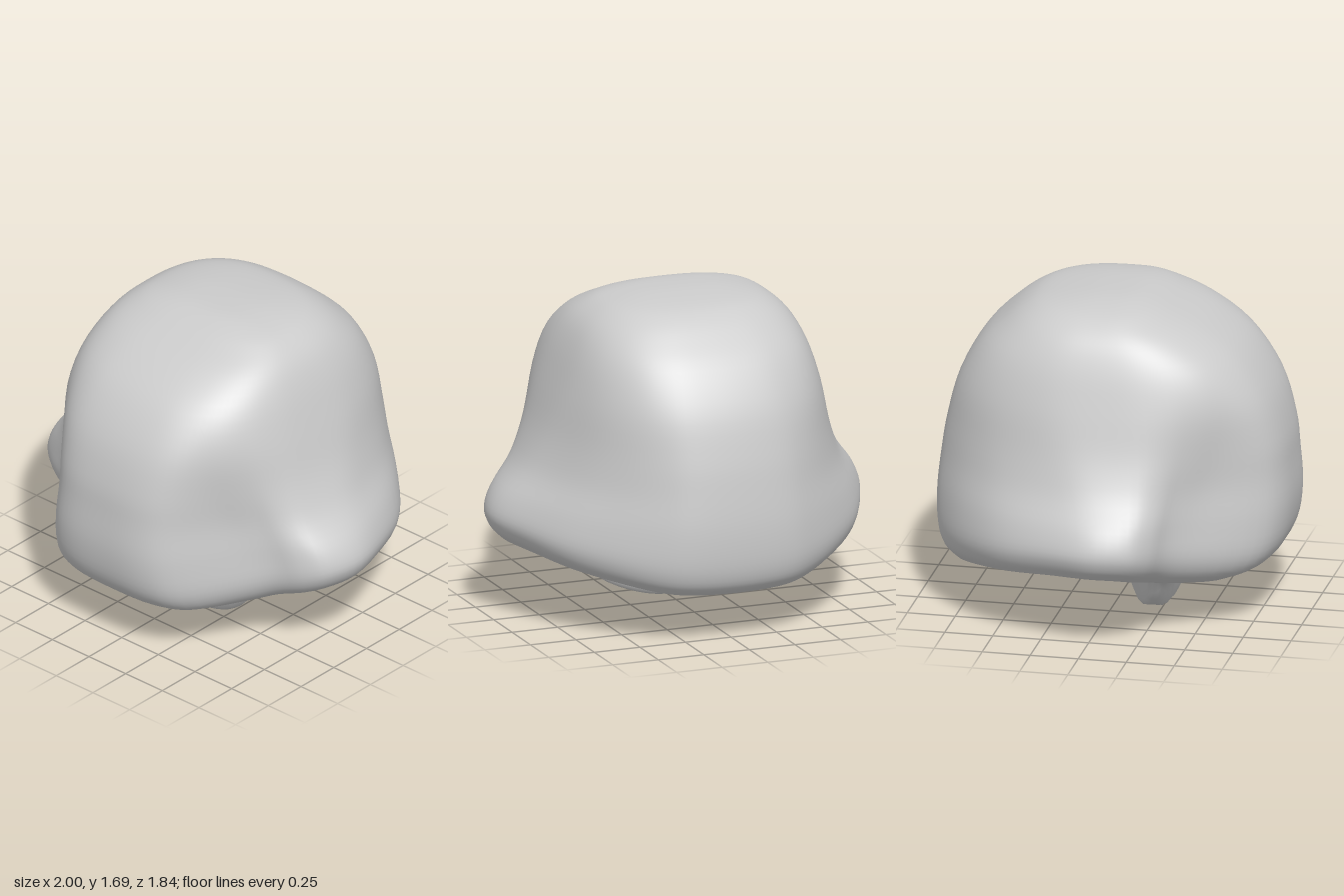
import * as THREE from 'three';

// Crown to lower edge: height, half width, front depth, back depth
const ROWS = [
  [1.68, 0, 0, 0],
  [1.675, 0.2, 0.12, 0.15],
  [1.65, 0.36, 0.22, 0.35],
  [1.61, 0.46, 0.32, 0.46],
  [1.53, 0.55, 0.5, 0.57],
  [1.4, 0.62, 0.68, 0.7],
  [1.2, 0.69, 0.82, 0.81],
  [0.98, 0.76, 0.89, 0.87],
  [0.8, 0.84, 0.91, 0.9],
  [0.6, 0.95, 0.92, 0.92],
  [0.42, 1.0, 0.89, 0.915],
  [0.31, 0.98, 0.81, 0.885],
  [0.25, 0.93, 0.67, 0.83],
];

// Half outline, back to front: x, z, lift of the lower edge, opening rim x, y, z
const COLS = [
  [0, -0.92, 0, 0, 0.32, -0.75],
  [0.25, -0.9, 0.005, 0.22, 0.32, -0.73],
  [0.42, -0.83, 0.02, 0.38, 0.33, -0.68],
  [0.62, -0.68, 0.06, 0.56, 0.36, -0.56],
  [0.8, -0.47, 0.1, 0.72, 0.39, -0.39],
  [0.93, -0.2, 0.14, 0.83, 0.415, -0.17],
  [1, 0.04, 0.155, 0.87, 0.42, 0.02],
  [0.96, 0.24, 0.145, 0.82, 0.4, 0.14],
  [0.86, 0.34, 0.11, 0.73, 0.37, 0.22],
  [0.72, 0.41, 0.07, 0.62, 0.34, 0.265],
  [0.6, 0.53, 0.03, 0.5, 0.3, 0.25],
  [0.42, 0.8, 0, 0.32, 0.24, 0.14],
  [0.25, 0.9, 0, 0.14, 0.21, 0.04],
  [0, 0.92, 0, 0, 0.2, 0],
];

const smooth = (a, b, v) => {
  const t = Math.min(1, Math.max(0, (v - a) / (b - a)));
  return t * t * (3 - 2 * t);
};
const lerp = THREE.MathUtils.lerp;

// Catmull-Rom through lists of equal length, taken value by value
function spline(list, t, closed) {
  const n = list.length;
  const i = Math.floor(t);
  const f = t - i;
  const at = (k) => list[closed ? (k + n) % n : Math.min(n - 1, Math.max(0, k))];
  const [a, b, c, d] = [at(i - 1), at(i), at(i + 1), at(i + 2)];
  return b.map((p, k) => p + 0.5 * f * (c[k] - a[k]
    + f * (2 * a[k] - 5 * p + 4 * c[k] - d[k] + f * (3 * (p - c[k]) + d[k] - a[k]))));
}

// Full loop of columns, each with a rounder upper outline added
function makeLoop() {
  const half = COLS.map((c, i) => {
    const a = (i / (COLS.length - 1)) * Math.PI;
    const round = (v) => Math.sign(v) * Math.pow(Math.abs(v), 2 / 2.6);
    const topX = i === COLS.length - 1 ? 0 : round(Math.sin(a));
    return [...c, topX, round(-Math.cos(a))];
  });
  const mirrored = half.slice(1, -1).reverse()
    .map(([x, z, l, ex, ey, ez, tx, tz]) => [-x, z, l, -ex, ey, ez, -tx, tz]);
  return [...half, ...mirrored];
}

// Point on the outer shell
function shellPoint([x, z, lift, , , , topX, topZ], [y, w, front, back]) {
  const b = smooth(0.5, 1.45, y);
  const pz = lerp(z / 0.92, topZ, b);
  return [
    w * lerp(x, topX, b),
    y + lift * (1 - smooth(0.25, 0.85, y)),
    pz * (pz > 0 ? front : back),
  ];
}

// Point on the underside, from lower edge (s = 0) to opening rim (s = 1), with the chin
function undersidePoint(col, s) {
  const o = shellPoint(col, ROWS[ROWS.length - 1]);
  const x = lerp(o[0], col[3], s);
  const z = lerp(o[2], col[5], s);
  const across = Math.sqrt(Math.max(0, 1 - (x / 0.47) ** 2));
  const inFront = smooth(0, 0.1, col[1]);
  const chin = 0.215 * across * inFront * smooth(0.37, 0.27, z) * smooth(1, 0.82, s);
  const roll = 0.02 * Math.sin(Math.PI * s) * (1 - across * inFront);
  return [x, lerp(o[1], col[4], s) - chin - roll, z];
}

export function createModel() {
  const loop = makeLoop();
  const colCount = loop.length * 4;
  const shellSteps = (ROWS.length - 1) * 4;
  const underSteps = 28;
  const rowCount = shellSteps + underSteps + 1;
  const positions = [];
  const indices = [];

  for (let r = 0; r < rowCount; r++) {
    for (let c = 0; c < colCount; c++) {
      const col = spline(loop, c / 4, true);
      positions.push(...(r <= shellSteps
        ? shellPoint(col, spline(ROWS, r / 4, false))
        : undersidePoint(col, (r - shellSteps) / underSteps)));
    }
  }
  for (let r = 0; r < rowCount - 1; r++) {
    for (let c = 0; c < colCount; c++) {
      const n = (c + 1) % colCount;
      const a = r * colCount + c, d = r * colCount + n;
      const b = a + colCount, e = d + colCount;
      if (r > 0) indices.push(a, d, b);
      indices.push(d, e, b);
    }
  }

  const geometry = new THREE.BufferGeometry();
  geometry.setAttribute('position', new THREE.Float32BufferAttribute(positions, 3));
  geometry.setIndex(indices);
  geometry.computeVertexNormals();

  const shell = new THREE.Mesh(geometry, new THREE.MeshStandardMaterial({
    color: 0xcccccc,
    side: THREE.DoubleSide,
  }));
  shell.name = 'headShell';

  const group = new THREE.Group();
  group.name = 'head';
  group.add(shell);
  return group;
}
